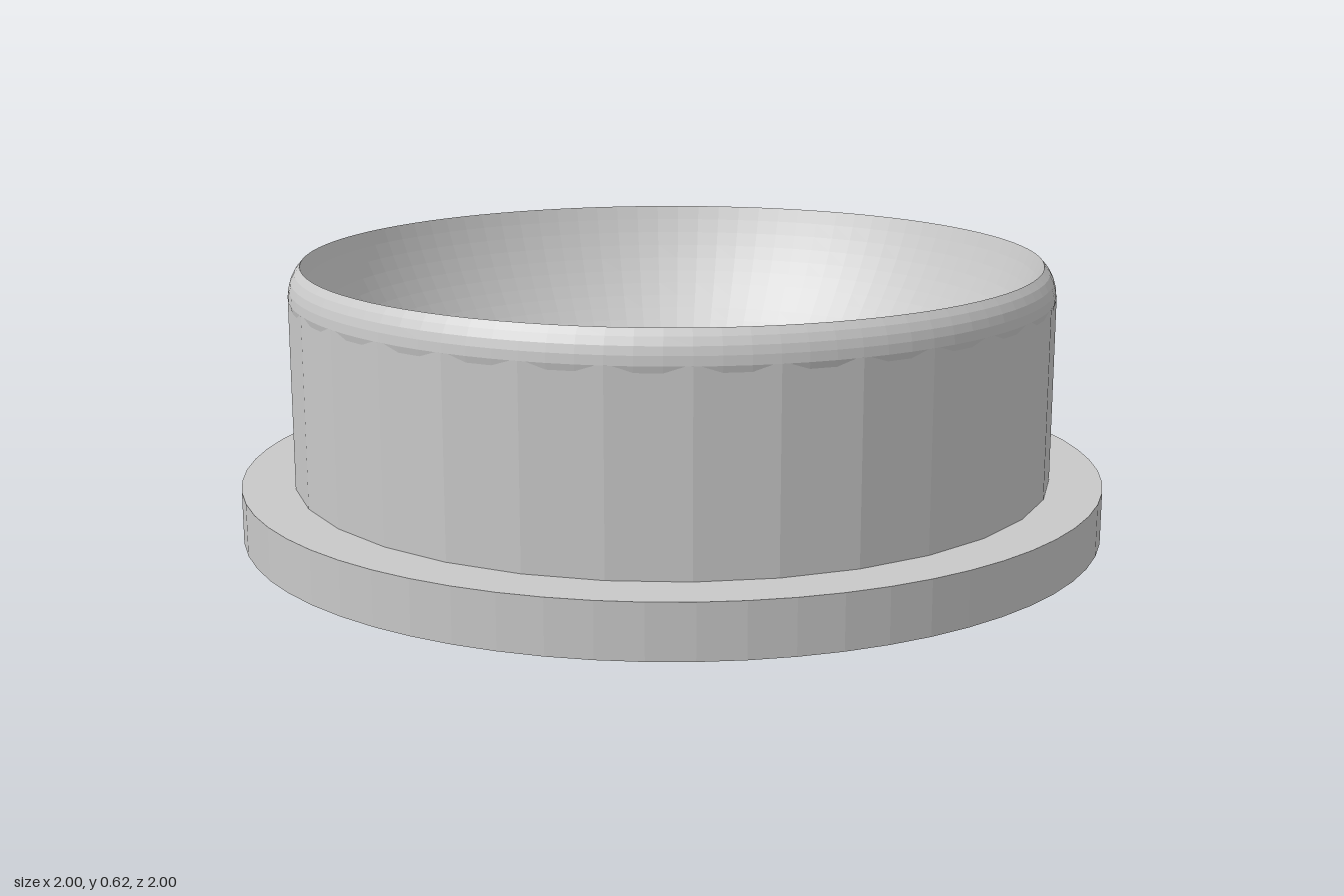
import * as THREE from 'three';

export function createModel() {
  const model = new THREE.Group();
  model.name = 'dishedCap';
  const grey = new THREE.MeshStandardMaterial({ color: 0xc8c8c8, flatShading: true });
  grey.name = 'plain grey';

  // Revolve a [radius, height] profile; upward profiles face outward.
  const turn = (name, profile, sides) => {
    const points = profile.map(([r, y]) => new THREE.Vector2(r, y));
    const mesh = new THREE.Mesh(new THREE.LatheGeometry(points, sides), grey);
    mesh.name = name;
    model.add(mesh);
  };

  const hole = 0.095, rim = 0.85, top = 0.62;

  // Flat underside, flange edge and flange top
  turn('flange', [[hole, 0], [1, 0], [1, 0.12], [0.86, 0.12]], 64);

  // Coarsely faceted outer wall
  turn('outerWall', [[0.88, 0.12], [0.88, 0.55]], 32);

  // Rounded shoulder up to the sharp rim
  turn('shoulder', [[0.876, 0.535], [0.879, 0.55], [0.877, 0.57], [0.872, 0.588], [0.863, 0.605], [rim, top]], 96);

  // Spherical hollow from the rim down to the drain hole
  const R = 0.9, centreY = top + Math.sqrt(R * R - rim * rim);
  const a0 = Math.asin(rim / R), a1 = Math.asin(hole / R), rings = 28;
  const bowl = [];
  for (let i = 0; i <= rings; i++) {
    const a = a0 + (a1 - a0) * i / rings;
    bowl.push([R * Math.sin(a), centreY - R * Math.cos(a)]);
  }
  turn('bowl', bowl, 96);

  // Wall of the drain hole
  turn('drainHole', [bowl[rings], [hole, 0]], 64);

  return model;
}
